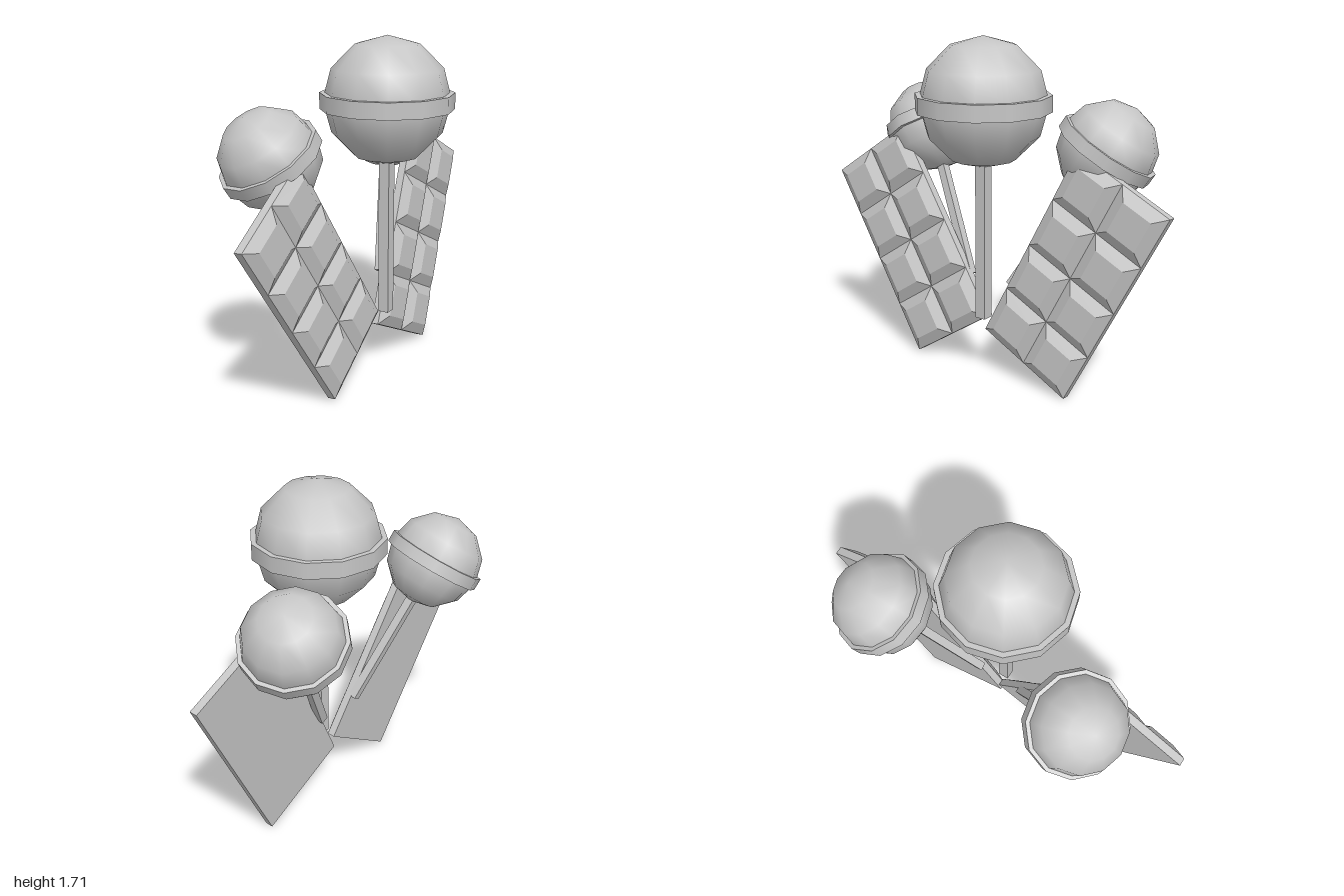
import * as THREE from 'three';

const candy = new THREE.MeshStandardMaterial({ color: 0xc6c6c6 });
candy.name = 'plain grey';

function addMesh(parent, geometry, name, x = 0, y = 0, z = 0) {
  const mesh = new THREE.Mesh(geometry, candy);
  mesh.name = name;
  mesh.position.set(x, y, z);
  parent.add(mesh);
  return mesh;
}

// Ball with an equator band on a square stick; origin at the ball centre
function makeLollipop(name, position, axis, scale) {
  const group = new THREE.Group();
  group.name = name;
  addMesh(group, new THREE.SphereGeometry(0.312, 12, 6), 'ball');
  addMesh(group, new THREE.CylinderGeometry(0.327, 0.327, 0.08, 12), 'band');
  addMesh(group, new THREE.BoxGeometry(0.056, 0.83, 0.056), 'stick', 0, -0.665, 0);
  group.position.set(...position);
  group.quaternion.setFromUnitVectors(new THREE.Vector3(0, 1, 0), new THREE.Vector3(...axis).normalize());
  group.scale.setScalar(scale);
  return group;
}

// Box whose +x face is drawn in to make a bevelled chocolate piece
function pieceGeometry(height, long, wide, inset) {
  const geometry = new THREE.BoxGeometry(height, long, wide);
  const p = geometry.attributes.position;
  for (let i = 0; i < p.count; i++) {
    if (p.getX(i) > 0) {
      p.setY(i, p.getY(i) - Math.sign(p.getY(i)) * inset);
      p.setZ(i, p.getZ(i) - Math.sign(p.getZ(i)) * inset);
    }
  }
  geometry.computeVertexNormals();
  return geometry;
}

// Flat slab with two columns of four pieces on the +x side
function makeBar(name, position, tilt) {
  const long = 1.083, wide = 0.537, slab = 0.04, raise = 0.032;
  const group = new THREE.Group();
  group.name = name;
  addMesh(group, new THREE.BoxGeometry(slab, long, wide), 'slab', slab / 2);
  const piece = pieceGeometry(raise, long / 4, wide / 2, 0.055);
  for (let row = 0; row < 4; row++) {
    for (let column = 0; column < 2; column++) {
      addMesh(group, piece, 'piece', slab + raise / 2, (row - 1.5) * long / 4, (column - 0.5) * wide / 2);
    }
  }
  group.position.set(...position);
  group.rotation.set(tilt, 0, 0.065, 'ZXY');
  return group;
}

export function createModel() {
  const model = new THREE.Group();
  model.name = 'sweets';
  model.add(
    makeLollipop('largeLollipop', [0.103, 1.41, -0.053], [0, 1, 0], 1),
    makeLollipop('frontLollipop', [-0.187, 1.197, 0.508], [-0.28, 1, 0.58], 0.77),
    makeLollipop('backLollipop', [-0.185, 1.197, -0.562], [-0.28, 1, -0.58], 0.77),
    makeBar('frontBar', [0.003, 0.617, 0.477], 0.588),
    makeBar('backBar', [0.003, 0.614, -0.517], -0.457),
  );
  return model;
}
